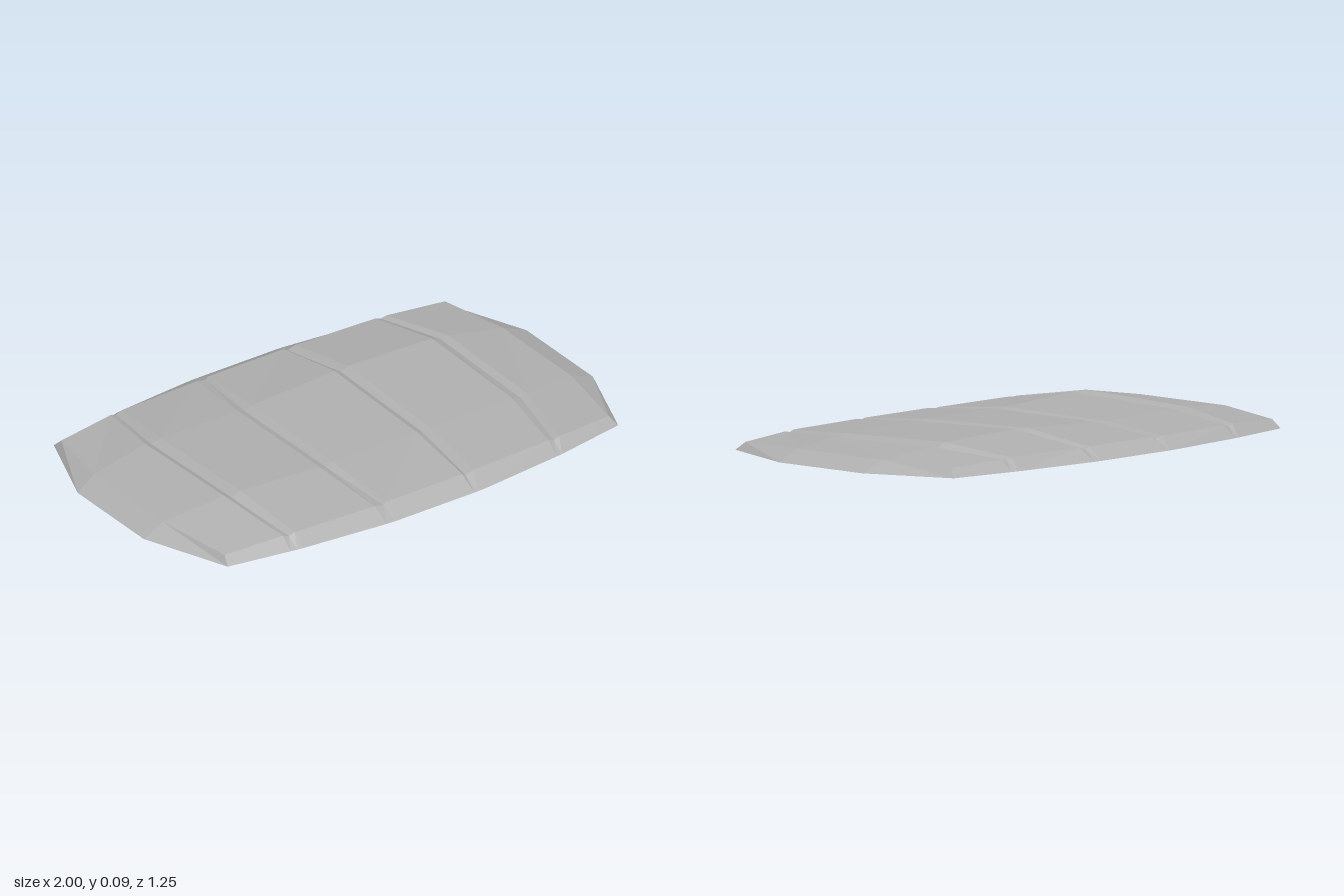
import * as THREE from 'three';

// Columns across the shell: x at middle, x at the ends, height at front bend, back bend, end edge
const COLUMNS = [
  [-0.92, -0.86, 0.048, 0.048, 0.03],
  [-0.67, -0.62, 0.087, 0.074, 0.042],
  [-0.64, -0.595, 0.072, 0.060, 0.034],
  [-0.60, -0.57, 0.086, 0.073, 0.042],
  [-0.25, -0.225, 0.068, 0.064, 0.040],
  [-0.22, -0.185, 0.057, 0.053, 0.032],
  [-0.19, -0.17, 0.068, 0.067, 0.042],
  [0.18, 0.165, 0.070, 0.086, 0.042],
  [0.21, 0.18, 0.056, 0.070, 0.032],
  [0.24, 0.215, 0.068, 0.087, 0.042],
  [0.61, 0.56, 0.062, 0.078, 0.042],
  [0.65, 0.585, 0.048, 0.060, 0.034],
  [0.68, 0.61, 0.056, 0.068, 0.040],
  [0.90, 0.85, 0.040, 0.040, 0.03],
];

// Piecewise-linear lookup by |x|
const lerpTable = (table, x) => {
  const a = Math.abs(x);
  for (let i = 1; i < table.length; i++) {
    const [x0, v0] = table[i - 1], [x1, v1] = table[i];
    if (a <= x1) return v0 + (v1 - v0) * Math.max(0, (a - x0) / (x1 - x0));
  }
  return table[table.length - 1][1];
};
const OUTLINE = [[0.2, 0.627], [0.58, 0.588], [0.87, 0.538]];
const INNER = [[0.2, 0.552], [0.6, 0.535], [0.86, 0.505]];
const BEND = [[0.2, 0.25], [0.65, 0.245], [0.92, 0.21]];

// One cross-section from the front rim to the back rim
function section([xm, xe, yFront, yBack, yEnd]) {
  const xo = Math.abs(xe) > 0.8 ? Math.sign(xe) * 0.87 : xe;
  const zo = lerpTable(OUTLINE, xo), zi = lerpTable(INNER, xe), zb = lerpTable(BEND, xm);
  return [
    [xo, 0, zo], [xe, yEnd, zi], [xm, yFront, zb - 0.005],
    [xm, yBack, -zb - 0.008], [xe, yEnd + 0.002, -zi], [xo, 0, -zo],
  ];
}

// Rim at either side, running between the two corners
const sideRim = (s) => [
  [0.87 * s, 0, 0.538], [0.87 * s, 0, 0.538], [s, 0, 0.2],
  [s, 0, -0.21], [0.87 * s, 0, -0.538], [0.87 * s, 0, -0.538],
];

function shellGeometry() {
  const rows = [sideRim(-1), ...COLUMNS.map(section), sideRim(1)];
  const pos = [];
  const tri = (...points) => {
    const [a, b, c] = points.map((p) => new THREE.Vector3(...p));
    if (new THREE.Triangle(a, b, c).getArea() > 1e-7) points.forEach((p) => pos.push(...p));
  };
  for (let i = 0; i < rows.length - 1; i++) {
    for (let j = 0; j < 5; j++) {
      const a = rows[i][j], b = rows[i + 1][j], c = rows[i + 1][j + 1], d = rows[i][j + 1];
      tri(a, b, c);
      tri(a, c, d);
    }
  }
  const geometry = new THREE.BufferGeometry();
  geometry.setAttribute('position', new THREE.Float32BufferAttribute(pos, 3));
  geometry.computeVertexNormals();
  return geometry;
}

export function createModel() {
  const model = new THREE.Group();
  model.name = 'panelledSlab';
  const grey = new THREE.MeshStandardMaterial({
    color: 0xb0b0b0, flatShading: true, side: THREE.DoubleSide,
  });
  grey.name = 'grey stone';

  // Thin open shell of five panels parted by shallow grooves
  const shell = new THREE.Mesh(shellGeometry(), grey);
  shell.name = 'slabShell';
  model.add(shell);
  return model;
}
